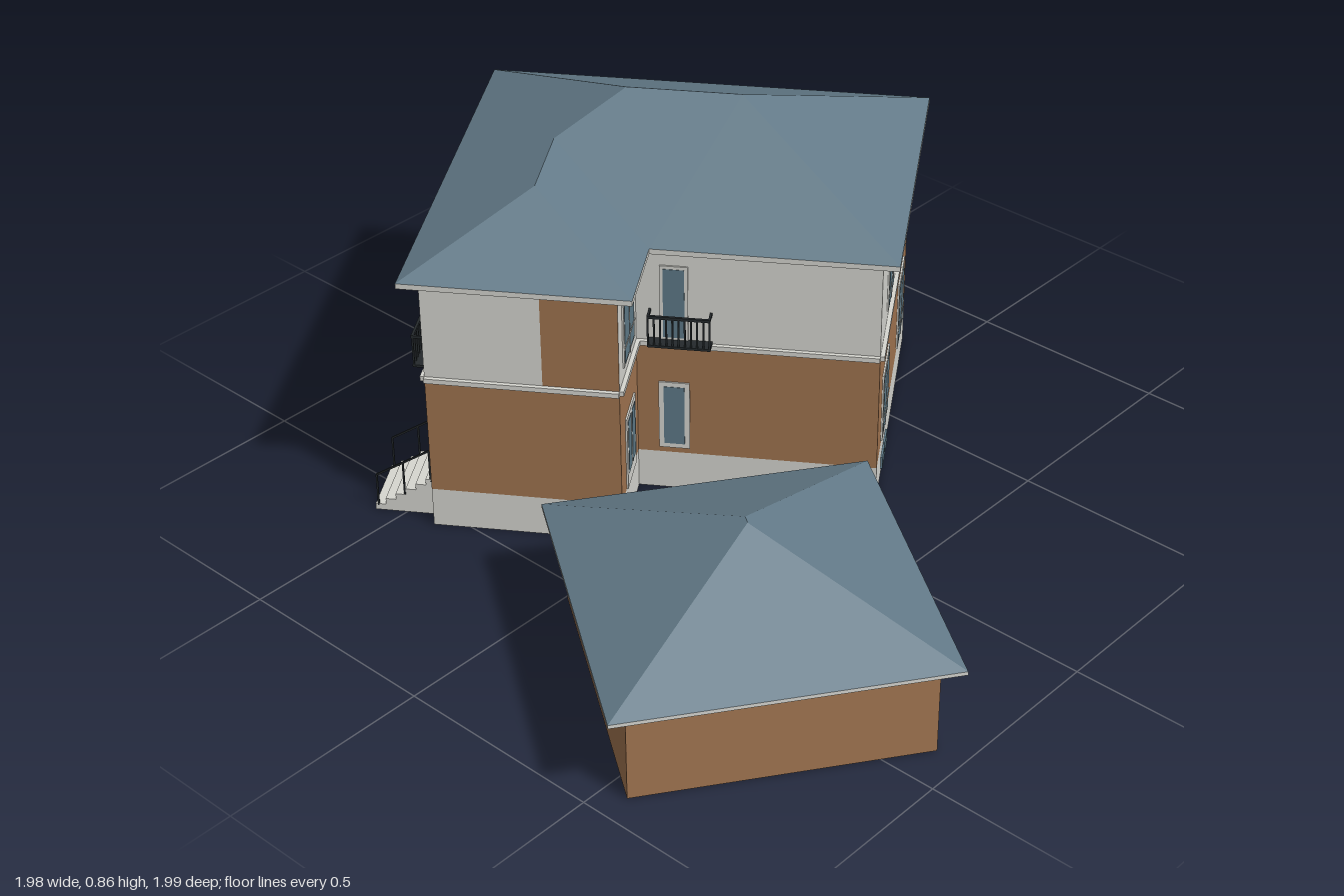
import * as THREE from 'three';

const mat = (name, color, side = THREE.FrontSide) => {
  const m = new THREE.MeshStandardMaterial({ color, side });
  m.name = name;
  return m;
};

export function createModel() {
  const white = mat('white render', 0xd6d6d0, THREE.DoubleSide);
  const brick = mat('brown brick', 0xa07450, THREE.DoubleSide);
  const slate = mat('slate roof', 0x647b89, THREE.DoubleSide);
  const glass = mat('blue glass', 0x5f7a88);
  const iron = mat('black iron', 0x24292c);

  const model = new THREE.Group();
  const group = (name, parent) => {
    const g = new THREE.Group();
    g.name = name;
    parent.add(g);
    return g;
  };
  const add = (name, parent, geo, m, x = 0, y = 0, z = 0) => {
    const mesh = new THREE.Mesh(geo, m);
    mesh.name = name;
    mesh.position.set(x, y, z);
    parent.add(mesh);
    return mesh;
  };
  // box given by its two opposite corners
  const box = (name, parent, m, x0, x1, y0, y1, z0, z1) =>
    add(name, parent, new THREE.BoxGeometry(x1 - x0, y1 - y0, z1 - z0), m, (x0 + x1) / 2, (y0 + y1) / 2, (z0 + z1) / 2);
  const panel = (name, parent, m, u0, u1, y0, y1) =>
    add(name, parent, new THREE.PlaneGeometry(u1 - u0, y1 - y0), m, (u0 + u1) / 2, (y0 + y1) / 2, 0);

  // frame standing on the edge p -> q: x runs along it, z points outwards
  const edge = (name, parent, p, q) => {
    const g = group(name, parent);
    g.position.set(p[0], 0, p[1]);
    g.rotation.y = Math.atan2(p[1] - q[1], q[0] - p[0]);
    g.userData.length = Math.hypot(q[0] - p[0], q[1] - p[1]);
    return g;
  };

  // flat faces turned upwards, from convex polygons of [x, y, z]
  const roofFaces = (parent, faces) => {
    const pos = [];
    for (const f of faces) {
      const v = f.map((p) => new THREE.Vector3(...p));
      const n = v[1].clone().sub(v[0]).cross(v[2].clone().sub(v[0]));
      if (n.y < 0) v.reverse();
      for (let i = 1; i < v.length - 1; i++) for (const k of [0, i, i + 1]) pos.push(...v[k].toArray());
    }
    const geo = new THREE.BufferGeometry();
    geo.setAttribute('position', new THREE.Float32BufferAttribute(pos, 3));
    geo.computeVertexNormals();
    add('roof slopes', parent, geo, slate);
  };
  // soffit and pale fascia below the eaves outline
  const eaves = (parent, outline, y, h) => {
    const soffit = new THREE.ShapeGeometry(new THREE.Shape(outline.map(([x, z]) => new THREE.Vector2(x, z))));
    soffit.rotateX(Math.PI / 2);
    add('soffit', parent, soffit, slate, 0, y - h, 0);
    outline.forEach((p, i) => {
      const e = edge('fascia', parent, p, outline[(i + 1) % outline.length]);
      panel('fascia board', e, white, 0, e.userData.length, y - h, y);
    });
  };
  const hipRoof = (parent, x0, x1, z0, z1, y0, y1) => {
    const r = Math.min(x1 - x0, z1 - z0) / 2;
    const wide = x1 - x0 > z1 - z0;
    const cx = (x0 + x1) / 2, cz = (z0 + z1) / 2;
    const P = wide ? [x0 + r, y1, cz] : [cx, y1, z0 + r];
    const Q = wide ? [x1 - r, y1, cz] : [cx, y1, z1 - r];
    const A = [x0, y0, z0], B = [x1, y0, z0], C = [x1, y0, z1], D = [x0, y0, z1];
    roofFaces(parent, wide
      ? [[A, B, Q, P], [B, C, Q], [C, D, P, Q], [D, A, P]]
      : [[A, B, P], [B, C, Q, P], [C, D, Q], [D, A, P, Q]]);
    eaves(parent, [[x0, z1], [x1, z1], [x1, z0], [x0, z0]], y0, 0.009);
  };

  // window running through the wall, so it shows inside and outside
  const windowAt = (wall, u0, u1, y0, y1, { frame = 0.012, bars = true } = {}) => {
    const g = group('window', wall);
    if (frame) box('window frame', g, white, u0, u1, y0, y1, -0.004, 0.004);
    box('window pane', g, glass, u0 + frame, u1 - frame, y0 + frame, y1 - frame, -0.005, 0.005);
    if (!bars) return;
    const c = (u0 + u1) / 2, t = y0 + (y1 - y0) * 0.3;
    box('mullion', g, white, c - 0.003, c + 0.003, y0, y1, -0.006, 0.006);
    box('transom', g, white, u0, u1, t - 0.003, t + 0.003, -0.006, 0.006);
  };
  const cellarWindow = (wall, u0, u1) => {
    const c = (u0 + u1) / 2;
    for (const [a, b] of [[u0, c - 0.004], [c + 0.004, u1]])
      windowAt(wall, a, b, 0.02, 0.052, { frame: 0, bars: false });
  };
  const doorAt = (wall, u0, u1, y0, y1) => {
    const g = group('door', wall), c = (u0 + u1) / 2;
    box('door frame', g, white, u0, u1, y0, y1, -0.004, 0.004);
    for (const [a, b] of [[u0 + 0.014, c - 0.006], [c + 0.006, u1 - 0.014]])
      box('door pane', g, glass, a, b, y0 + 0.035, y1 - 0.014, -0.005, 0.005);
  };
  const balcony = (wall, u0, u1) => {
    const g = group('balcony', wall), d = 0.034;
    box('balcony floor', g, iron, u0, u1, 0.406, 0.412, 0, d);
    box('front rail', g, iron, u0, u1, 0.482, 0.489, d - 0.006, d);
    for (let i = 0; i <= 10; i++) {
      const u = u0 + (u1 - u0 - 0.004) * i / 10;
      box('baluster', g, iron, u, u + 0.004, 0.41, 0.485, d - 0.005, d - 0.001);
    }
    for (const u of [u0, u1 - 0.005]) box('side rail', g, iron, u, u + 0.005, 0.482, 0.489, 0, d);
  };

  // ---- house
  const house = group('house', model);
  house.rotation.y = 0.588;
  const A = [-0.225, -0.652], B = [0.727, -0.652], C = [0.727, 0.346];
  const D = [-0.002, 0.346], N = [-0.002, -0.211], E = [-0.225, -0.211];
  // columns: [start, end, ground floor colour, upper floor colour]
  const wall = (name, p, q, columns) => {
    const w = edge(name, house, p, q), L = w.userData.length;
    panel('foundation', w, white, 0, L, 0, 0.1);
    for (const [u0, u1, low, up] of columns || [[0, L, brick, white]]) {
      panel('ground floor wall', w, low, u0, u1, 0.1, 0.4);
      panel('upper floor wall', w, up, u0, u1, 0.4, 0.66);
    }
    box('floor band', w, white, 0, L, 0.394, 0.406, -0.008, 0.01);
    return w;
  };

  const front = wall('front wall', D, C);
  for (const u of [0.144, 0.503]) windowAt(front, u, u + 0.13, 0.437, 0.6, { frame: 0.008 });
  for (const u of [0.09, 0.492]) windowAt(front, u, u + 0.145, 0.115, 0.295);
  cellarWindow(front, 0.114, 0.234);

  const side = wall('side wall', C, B);
  for (const u of [0.348, 0.546]) windowAt(side, u, u + 0.054, 0.495, 0.595, { frame: 0, bars: false });
  windowAt(side, 0.53, 0.6, 0.195, 0.295, { bars: false });

  const back = wall('back wall', B, A, [
    [0, 0.2, brick, white], [0.2, 0.244, brick, brick], [0.244, 0.301, white, brick],
    [0.301, 0.47, white, white], [0.47, 0.727, brick, white], [0.727, 0.952, brick, brick]]);
  for (const u of [0.085, 0.317, 0.549]) windowAt(back, u, u + 0.08, 0.437, 0.6, { frame: 0.008 });
  for (const u of [0.055, 0.5]) {
    windowAt(back, u, u + 0.145, 0.115, 0.295);
    cellarWindow(back, u + 0.005, u + 0.135);
  }
  doorAt(back, 0.77, 0.883, 0.1, 0.29);
  doorAt(back, 0.77, 0.878, 0.41, 0.6);
  balcony(back, 0.752, 0.917);

  wall('wing side wall', A, E, [[0, 0.268, brick, white], [0.268, 0.441, brick, brick]]);

  const wing = wall('wing front wall', E, N);
  windowAt(wing, 0.048, 0.182, 0.437, 0.6, { frame: 0.008 });
  doorAt(wing, 0.062, 0.175, 0.1, 0.29);

  const inner = wall('courtyard wall', N, D);
  windowAt(inner, 0.05, 0.122, 0.115, 0.295, { bars: false });
  windowAt(inner, 0.055, 0.12, 0.41, 0.605, { frame: 0.008, bars: false });
  balcony(inner, 0.03, 0.175);

  // main hipped roof with a lower wing
  const roof = group('main roof', house);
  const y0 = 0.668, y1 = 0.787, y2 = 0.855;
  const a = [-0.265, y0, -0.692], b = [0.767, y0, -0.692], c = [0.767, y0, 0.386];
  const d = [-0.042, y0, 0.386], n = [-0.042, y0, -0.171], e = [-0.265, y0, -0.171];
  const r1 = [0.3625, y2, -0.288], r2 = [0.3625, y2, -0.018];
  const s1 = [-0.005, y1, -0.4315], s2 = [0.218, y1, -0.4315];
  roofFaces(roof, [[a, b, s2, s1], [b, r1, s2], [b, c, r2, r1], [c, d, r2], [d, n, s2, r1, r2], [n, e, s1, s2], [e, a, s1]]);
  eaves(roof, [d, c, b, a, e, n].map((p) => [p[0], p[2]]), y0, 0.013);

  // entrance steps with hand rails
  const steps = group('entrance steps', house);
  for (let i = 0; i < 6; i++) {
    const z = -0.652 - i * 0.0245;
    box('step', steps, white, -0.185, -0.03, 0, 0.096 - i * 0.016, z - 0.0245, z);
  }
  for (const x of [-0.183, -0.032]) {
    for (const [z, h] of [[-0.665, 0.09], [-0.728, 0.048], [-0.792, 0.012]])
      box('rail post', steps, iron, x - 0.002, x + 0.002, h, h + 0.085, z - 0.002, z + 0.002);
    const rail = box('hand rail', steps, iron, x - 0.002, x + 0.002, -0.002, 0.002, -0.075, 0.075);
    rail.position.set(x, 0.136, -0.728);
    rail.rotation.x = -0.55;
  }

  // ---- sunroom
  const sun = group('sunroom', house);
  box('sunroom walls', sun, brick, 0.727, 0.946, 0, 0.296, -0.192, 0.26);
  const sunFront = edge('sunroom front', sun, [0.727, 0.26], [0.946, 0.26]);
  windowAt(sunFront, 0.018, 0.188, 0.09, 0.282, { frame: 0, bars: false });
  const sunSide = edge('sunroom side', sun, [0.946, 0.26], [0.946, -0.192]);
  windowAt(sunSide, 0.055, 0.396, 0.143, 0.275, { frame: 0, bars: false });
  const sunBack = edge('sunroom back', sun, [0.946, -0.192], [0.727, -0.192]);
  windowAt(sunBack, 0.02, 0.2, 0.085, 0.288, { bars: false });
  hipRoof(group('sunroom roof', sun), 0.692, 0.986, -0.232, 0.3, 0.304, 0.375);

  // ---- garage
  const garage = group('garage', model);
  garage.position.set(-0.472, 0, 0.47);
  garage.rotation.y = -0.616;
  box('garage walls', garage, brick, -0.326, 0.326, 0, 0.224, -0.338, 0.338);
  for (const s of [-1, 1])
    add('garage door', garage, new THREE.BoxGeometry(0.25, 0.205, 0.008), white, s * 0.16, 0.1035, -0.339);
  hipRoof(group('garage roof', garage), -0.369, 0.369, -0.38, 0.38, 0.234, 0.402);

  return model;
}
